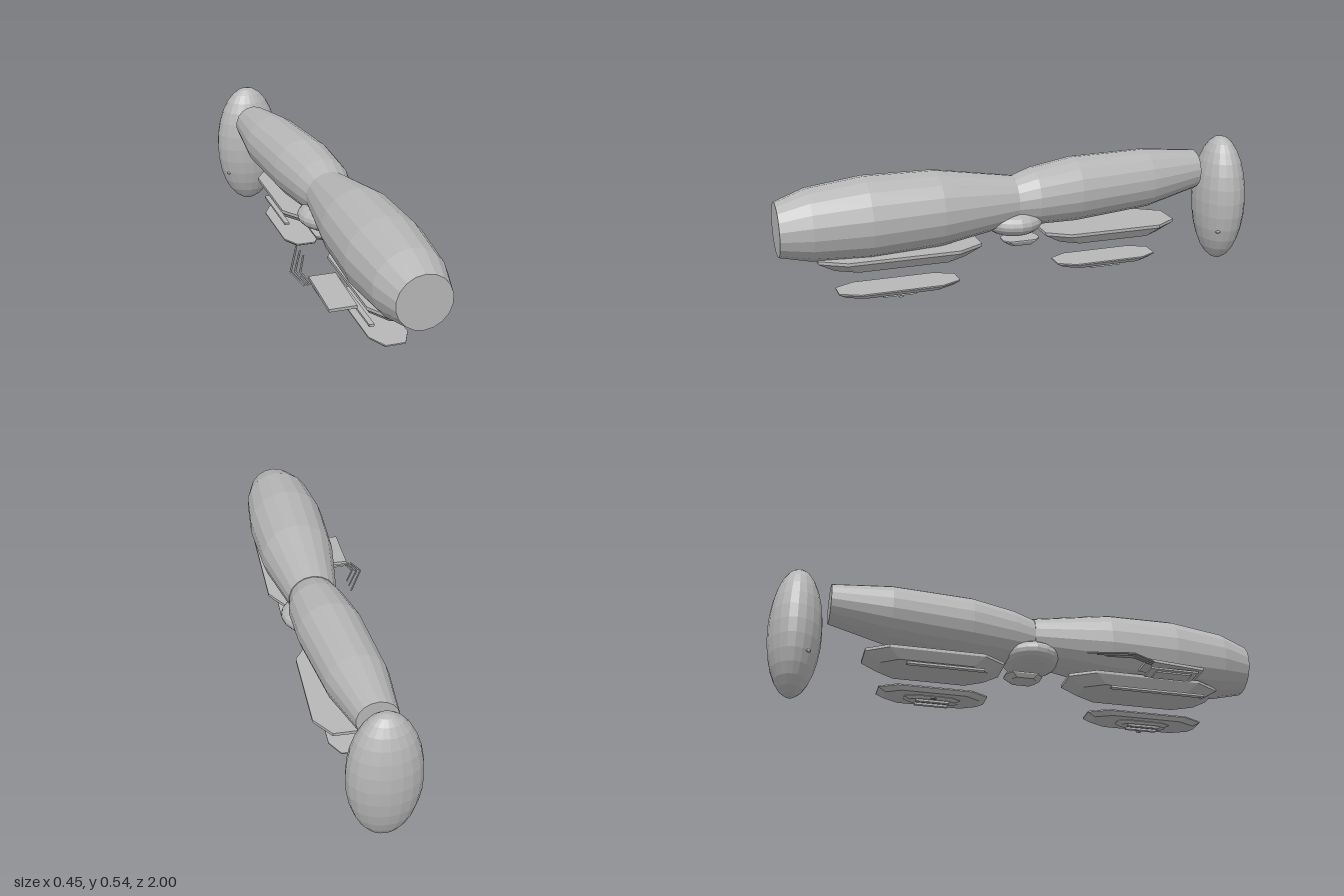
import * as THREE from 'three';

const grey = new THREE.MeshStandardMaterial({ color: 0xb6b6b6, flatShading: true });
grey.name = 'hull grey';

// Closed skin over a list of rings (arrays of [x, y, z]) with flat end caps
function loft(rings) {
  const n = rings[0].length, index = [];
  for (let i = 0; i < rings.length - 1; i++) {
    for (let j = 0; j < n; j++) {
      const a = i * n + j, b = i * n + (j + 1) % n;
      index.push(a, b, b + n, a, b + n, a + n);
    }
  }
  const last = (rings.length - 1) * n;
  for (let j = 1; j < n - 1; j++) {
    index.push(0, j + 1, j, last, last + j, last + j + 1);
  }
  const g = new THREE.BufferGeometry();
  g.setAttribute('position', new THREE.Float32BufferAttribute(rings.flat(2), 3));
  g.setIndex(index);
  const flat = g.toNonIndexed();
  flat.computeVertexNormals();
  return flat;
}

// Round section across z
function circle([z, cx, cy, r], n = 18) {
  return Array.from({ length: n }, (_, i) => {
    const a = ((i + 0.5) / n) * Math.PI * 2;
    return [cx + r * Math.cos(a), cy + r * Math.sin(a), z];
  });
}

// Cut-corner section across y
function octagon(cx, y, cz, w, l) {
  const u = w * 0.5, v = l * 0.68;
  return [[w, v], [w, -v], [u, -l], [-u, -l], [-w, -v], [-w, v], [-u, l], [u, l]]
    .map(([x, z]) => [cx + x, y, cz + z]);
}

export function createModel() {
  const model = new THREE.Group();
  const add = (name, geometry, x = 0, y = 0, z = 0) => {
    const mesh = new THREE.Mesh(geometry, grey);
    mesh.name = name;
    mesh.position.set(x, y, z);
    model.add(mesh);
    return mesh;
  };
  const ellipsoid = (name, p, r, w, h) =>
    add(name, new THREE.SphereGeometry(1, w, h).scale(...r), ...p);
  const box = (name, size, p) => add(name, new THREE.BoxGeometry(...size), ...p);
  const tray = (name, cx, cz, y0, y1, w, l, inset, insetL) => add(name, loft([
    octagon(cx, y0, cz, w - inset, l - insetL),
    octagon(cx, y0 + (y1 - y0) * 0.75, cz, w, l),
    octagon(cx, y1, cz, w, l),
  ]));

  // Two barrel hulls meeting at a narrow waist
  add('rearBarrel', loft([
    [-0.77, -0.037, 0.41, 0.08], [-0.53, -0.012, 0.4, 0.12], [-0.2, 0.025, 0.395, 0.13],
    [-0.02, 0.045, 0.387, 0.115], [0.065, 0.048, 0.38, 0.095],
  ].map((r) => circle(r))));
  add('frontBarrel', loft([
    [0.065, 0.048, 0.38, 0.098], [0.38, 0.058, 0.381, 0.15], [0.66, 0.062, 0.375, 0.16],
    [0.88, 0.066, 0.369, 0.14], [1.0, 0.07, 0.362, 0.105],
  ].map((r) => circle(r))));

  // Rear dish and the pod under the waist
  ellipsoid('rearDish', [-0.035, 0.272, -0.895], [0.14, 0.27, 0.105], 20, 14);
  ellipsoid('waistPod', [0.048, 0.3, 0.065], [0.13, 0.06, 0.12], 18, 12);
  for (const x of [-0.14, 0.073]) {
    ellipsoid('dishStud', [x, 0.152, -0.845], [0.007, 0.006, 0.012], 8, 6);
  }

  // Trays, lower decks and rails, one set under each barrel
  const sets = [
    { end: 'front', hull: [0.075, 0.54, 0.12, 0.32], deck: [0.06, 0.54, 0.076, 0.24], rail: [-0.033, 0.58, 0.4], studX: 0.105 },
    { end: 'rear', hull: [0.035, -0.34, 0.12, 0.28], deck: [0.012, -0.345, 0.076, 0.215], rail: [-0.065, -0.305, 0.31], studX: -0.035 },
  ];
  for (const { end, hull, deck, rail, studX } of sets) {
    const [hx, hz, hw, hl] = hull, [dx, dz, dw, dl] = deck;
    tray(end + 'HullTray', hx, hz, 0.193, 0.242, hw, hl, 0.025, 0.065);
    tray(end + 'LowerDeck', dx, dz, 0.067, 0.088, dw, dl, 0.012, 0.03);
    tray(end + 'DeckStep', dx, dz, 0.055, 0.068, 0.035, 0.11, 0.008, 0.02);
    for (const side of [-1, 1]) {
      box(end + 'DeckRunner', [0.014, 0.008, 0.13], [dx + side * 0.018, 0.05, dz]);
    }
    ellipsoid(end + 'DeckStud', [studX, 0.051, dz], [0.006, 0.003, 0.012], 8, 6);
    box(end + 'Rail', [0.02, 0.009, rail[2]], [rail[0], 0.178, rail[1]]);
  }
  tray('waistTray', 0.035, 0.03, 0.193, 0.215, 0.05, 0.075, 0.01, 0.025);

  // Side platform on the right with stepped underside
  box('sidePlatform', [0.105, 0.012, 0.24], [-0.1225, 0.241, 0.61]).rotation.x = 0.07;
  box('platformStep', [0.085, 0.008, 0.2], [-0.1225, 0.221, 0.61]);
  box('platformKeel', [0.06, 0.006, 0.15], [-0.1225, 0.212, 0.61]);

  // Three bent claw fingers behind the platform
  const fingers = [
    [[-0.148, 0.265, 0.25], [-0.222, 0.247, 0.42], [-0.198, 0.231, 0.51]],
    [[-0.146, 0.264, 0.29], [-0.205, 0.247, 0.42], [-0.185, 0.231, 0.51]],
    [[-0.145, 0.262, 0.33], [-0.188, 0.246, 0.43], [-0.172, 0.231, 0.51]],
  ];
  for (const pts of fingers) {
    const [a, b, c] = pts.map((p) => new THREE.Vector3(...p));
    for (const [p, q] of [[a, b], [b, c]]) {
      const bone = add('clawFinger', new THREE.CylinderGeometry(0.004, 0.004, p.distanceTo(q), 6));
      bone.position.copy(p).lerp(q, 0.5);
      bone.quaternion.setFromUnitVectors(new THREE.Vector3(0, 1, 0), q.clone().sub(p).normalize());
    }
  }
  return model;
}
